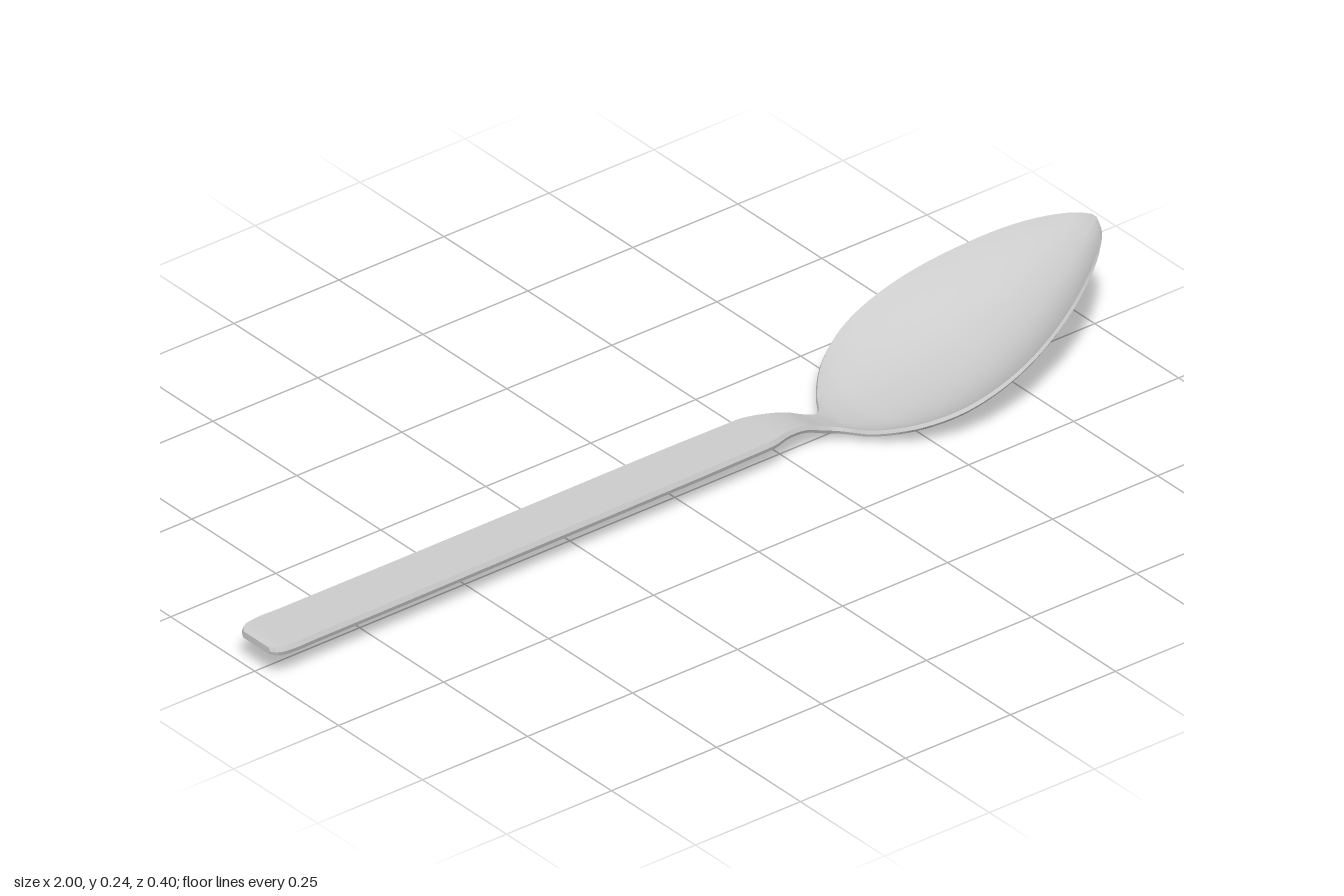
import * as THREE from 'three';
import { toCreasedNormals } from 'three/addons/utils/BufferGeometryUtils.js';

// Stations along the spoon: x, half width, rim height, underside height
const STATIONS = [
  [-1, 0.042, 0.072, 0.058], [-0.99, 0.053, 0.074, 0.056], [-0.965, 0.06, 0.075, 0.055],
  [-0.9, 0.06, 0.075, 0.055], [-0.4, 0.058, 0.075, 0.055], [0.15, 0.055, 0.075, 0.055],
  [0.2, 0.053, 0.075, 0.055], [0.24, 0.043, 0.073, 0.056], [0.29, 0.034, 0.062, 0.046],
  [0.33, 0.031, 0.044, 0.028], [0.365, 0.036, 0.031, 0.015], [0.38, 0.05, 0.029, 0.01],
  [0.4, 0.08, 0.031, 0.006], [0.45, 0.135, 0.046, 0.001], [0.5, 0.169, 0.062, 0.005],
  [0.55, 0.19, 0.079, 0.011], [0.62, 0.2, 0.103, 0.023], [0.7, 0.194, 0.131, 0.045],
  [0.8, 0.165, 0.167, 0.088], [0.9, 0.115, 0.204, 0.145], [0.96, 0.068, 0.224, 0.188],
  [0.99, 0.032, 0.233, 0.213], [1, 0.008, 0.237, 0.223],
];
const NECK = 11;   // station where the bowl begins
const STEPS = 4;   // sections per station
const ACROSS = 20; // divisions across the width
const RING = 2 * ACROSS + 4;

// One closed cross-section: underside, side edge, upper side, other edge
function ring(x, w, rim, under) {
  const thick = THREE.MathUtils.lerp(0.02, 0.013, THREE.MathUtils.smoothstep(x, 0.2, 0.42));
  const depth = Math.max(0, rim - thick - under);
  const shift = 0.004 * (1 - THREE.MathUtils.smoothstep(x, -0.8, 0.2));
  const inner = w - Math.min(0.004, w * 0.3);
  const t = Math.min(thick, rim - under);
  const points = [];
  const side = (sign) => points.push(x, under + depth + t / 2, shift + sign * w);
  const surface = (sign, lift) => {
    for (let j = 0; j <= ACROSS; j++) {
      const s = sign * Math.sin((j / ACROSS - 0.5) * Math.PI);
      points.push(x, under + depth * Math.abs(s) ** 2.4 + lift, shift + s * inner);
    }
  };
  surface(1, 0);
  side(1);
  surface(-1, t);
  side(-1);
  return points;
}

// Skin over all sections, with caps at both ends
function spoonSkin() {
  const spline = new THREE.CubicInterpolant(
    STATIONS.map((s) => s[0]), STATIONS.flatMap((s) => s.slice(1)), 3, new Float32Array(3));
  const positions = [];
  const index = [];
  const spans = (STATIONS.length - 1) * STEPS;
  for (let i = 0; i <= spans; i++) {
    const k = Math.min(Math.floor(i / STEPS), STATIONS.length - 2);
    const x = THREE.MathUtils.lerp(STATIONS[k][0], STATIONS[k + 1][0], i / STEPS - k);
    const [w, rim, under] = spline.evaluate(x);
    positions.push(...ring(x, w, rim, under));
  }
  for (let j = 1; j < RING - 1; j++) index.push(0, j, j + 1);
  for (let i = 0; i < spans; i++) {
    for (let j = 0; j < RING; j++) {
      const a = i * RING + j;
      const b = i * RING + (j + 1) % RING;
      index.push(a, a + RING, b, b, a + RING, b + RING);
    }
  }
  const end = spans * RING;
  for (let j = 1; j < RING - 1; j++) index.push(end, end + j + 1, end + j);

  const geometry = new THREE.BufferGeometry();
  geometry.setAttribute('position', new THREE.Float32BufferAttribute(positions, 3));
  geometry.setIndex(index);
  return toCreasedNormals(geometry, THREE.MathUtils.degToRad(35));
}

// Part of the skin, so that normals stay continuous over the joint
function slice(skin, from, to) {
  const geometry = new THREE.BufferGeometry();
  for (const name of ['position', 'normal']) {
    const array = skin.getAttribute(name).array.slice(from * 3, to * 3);
    geometry.setAttribute(name, new THREE.BufferAttribute(array, 3));
  }
  return geometry;
}

export function createModel() {
  const group = new THREE.Group();
  group.name = 'spoon';
  const material = new THREE.MeshStandardMaterial({ color: 0xcccccc });
  const skin = spoonSkin();
  const joint = (RING - 2) * 3 + NECK * STEPS * RING * 6;

  const handle = new THREE.Mesh(slice(skin, 0, joint), material);
  handle.name = 'handle';
  const bowl = new THREE.Mesh(slice(skin, joint, skin.getAttribute('position').count), material);
  bowl.name = 'bowl';
  group.add(handle, bowl);
  return group;
}
